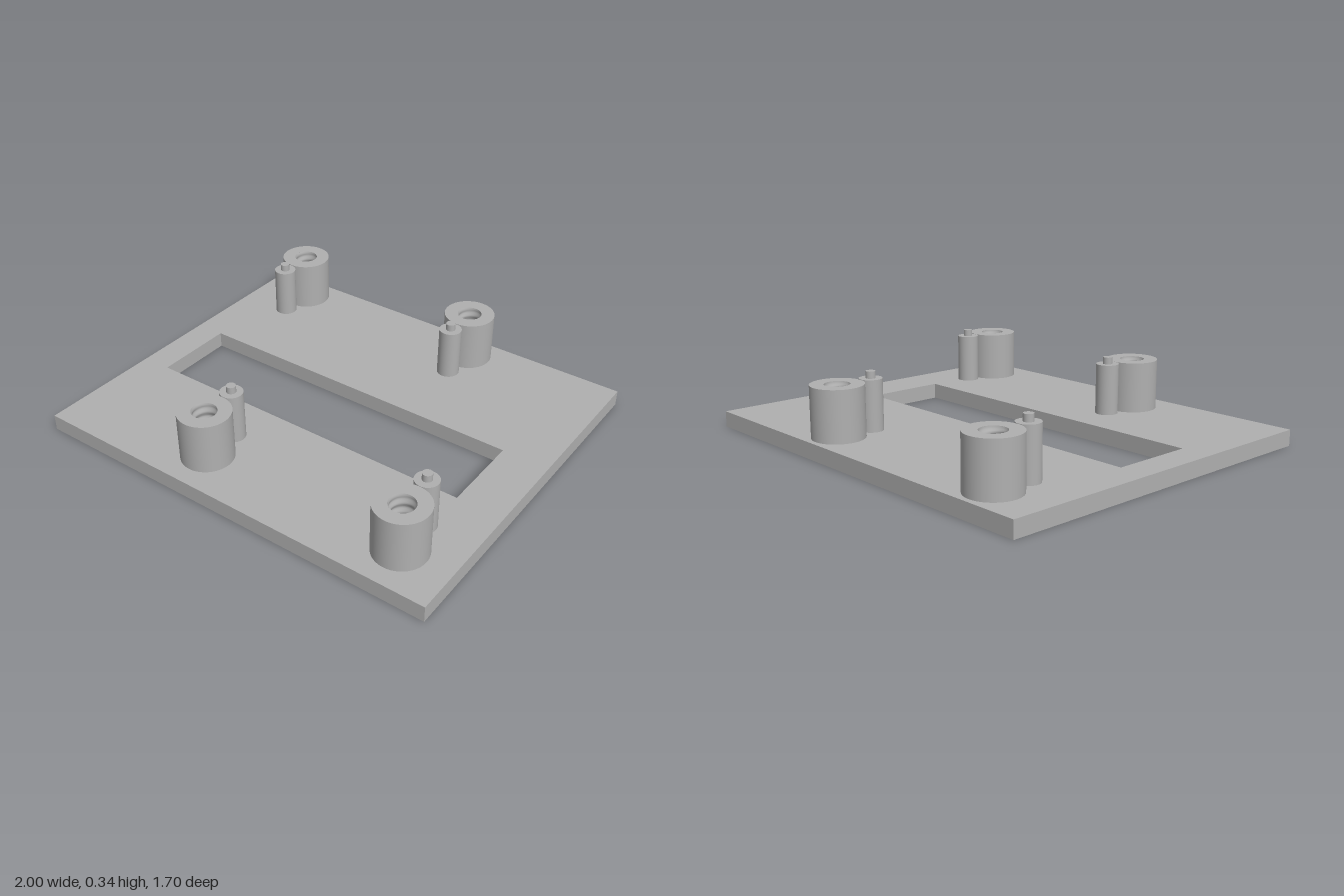
import * as THREE from 'three';

const PLATE_TOP = 0.075;
const POST_TOP = 0.312;
const BORE_RADIUS = 0.057;

// Internal screw thread: a tube turned inside out, its radius following a helix
function threadGeometry(height, pitch, depth) {
  const geometry = new THREE.CylinderGeometry(1, 1, height, 48, 40, true);
  const position = geometry.attributes.position;
  for (let i = 0; i < position.count; i++) {
    const x = position.getX(i), y = position.getY(i), z = position.getZ(i);
    const turn = y / pitch + Math.atan2(z, x) / (2 * Math.PI);
    const ridge = 1 - Math.abs(2 * (turn - Math.floor(turn)) - 1);
    const fade = Math.min(1, (height / 2 - y) / 0.02);
    const radius = BORE_RADIUS - depth * ridge * fade;
    position.setXYZ(i, -x * radius, y, z * radius);
  }
  geometry.computeVertexNormals();
  return geometry;
}

export function createModel() {
  const model = new THREE.Group();
  model.name = 'mountingPlate';
  const grey = new THREE.MeshStandardMaterial({ color: 0xb0b0b0 });
  grey.name = 'grey';

  const add = (parent, name, geometry, x, y, z) => {
    const mesh = new THREE.Mesh(geometry, grey);
    mesh.name = name;
    mesh.position.set(x, y, z);
    parent.add(mesh);
  };

  // Base plate with its rectangular window; shape y becomes -z
  const rectangle = (Type, x0, x1, z0, z1) => new Type([
    new THREE.Vector2(x0, -z1), new THREE.Vector2(x1, -z1),
    new THREE.Vector2(x1, -z0), new THREE.Vector2(x0, -z0),
  ]);
  const outline = rectangle(THREE.Shape, -1, 1, -0.848, 0.848);
  outline.holes.push(rectangle(THREE.Path, -0.86, 0.78, -0.135, 0.256));
  const plate = new THREE.ExtrudeGeometry(outline, { depth: PLATE_TOP, bevelEnabled: false });
  plate.rotateX(-Math.PI / 2);
  add(model, 'basePlate', plate, 0, 0, 0);

  // Shared standoff geometries
  const height = POST_TOP - PLATE_TOP;
  const middle = PLATE_TOP + height / 2;
  const wall = new THREE.CylinderGeometry(0.12, 0.12, height, 64, 1, true);
  const rim = new THREE.RingGeometry(BORE_RADIUS, 0.12, 64).rotateX(-Math.PI / 2);
  const thread = threadGeometry(height, 0.045, 0.009);
  const pin = new THREE.CylinderGeometry(0.053, 0.053, height, 40);
  const tip = new THREE.CylinderGeometry(0.022, 0.022, 0.034, 32);

  // Four threaded standoffs, each with a locating pin on its inner side
  for (const [x, z, pinZ] of [
    [-0.74, -0.704, -0.527], [0.26, -0.704, -0.527],
    [-0.24, 0.648, 0.473], [0.76, 0.648, 0.473],
  ]) {
    const standoff = new THREE.Group();
    standoff.name = 'standoff';
    add(standoff, 'standoffWall', wall, x, middle, z);
    add(standoff, 'standoffRim', rim, x, POST_TOP, z);
    add(standoff, 'boreThread', thread, x, middle, z);
    add(standoff, 'pinShaft', pin, x, middle, pinZ);
    add(standoff, 'pinTip', tip, x, POST_TOP + 0.015, pinZ);
    model.add(standoff);
  }
  return model;
}
